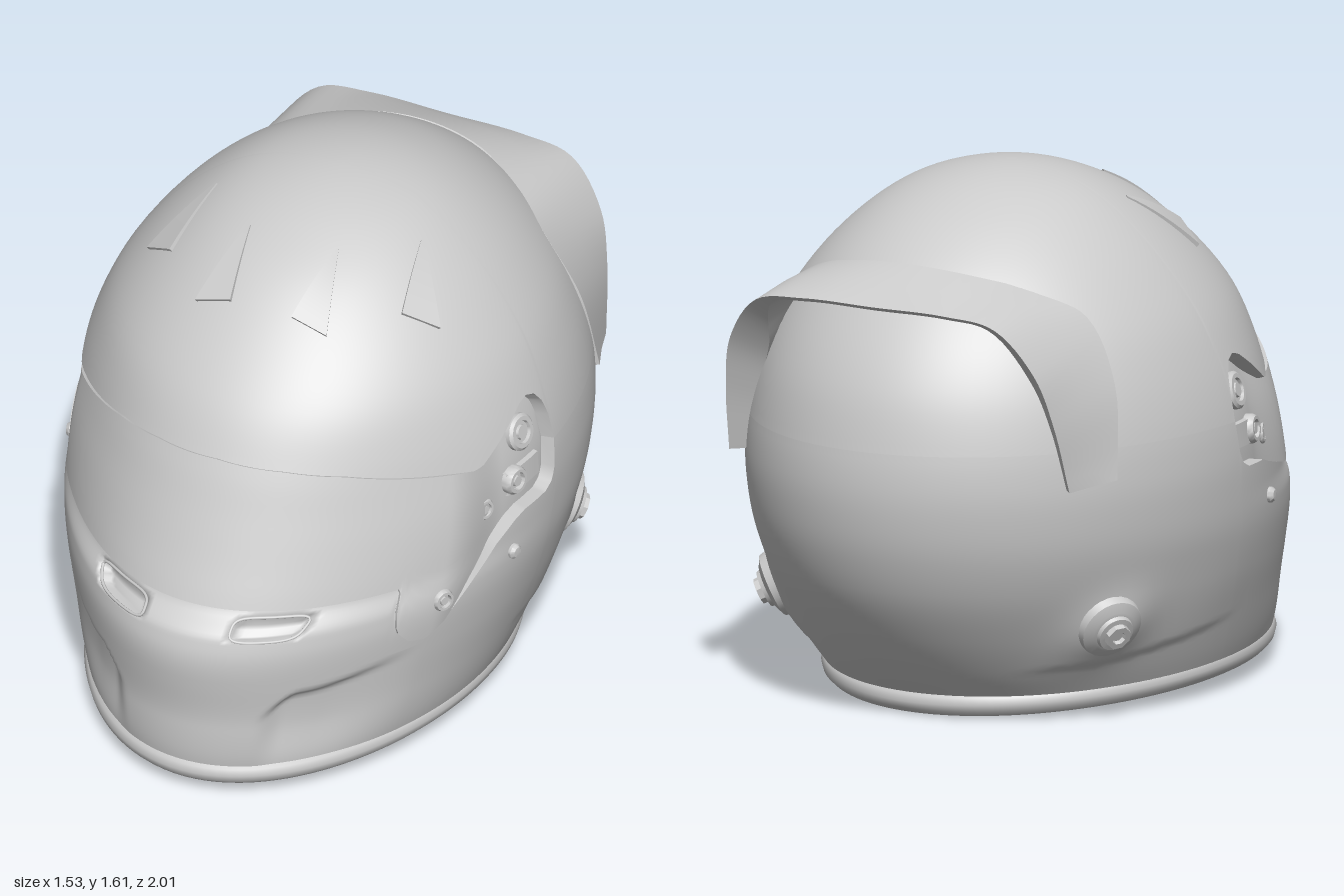
import * as THREE from 'three';
import { mergeVertices, toCreasedNormals } from 'three/addons/utils/BufferGeometryUtils.js';

const grey = new THREE.MeshStandardMaterial({ color: 0xcccccc, side: THREE.DoubleSide });
const V = (x, y, z) => new THREE.Vector3(x, y, z);
const { smoothstep, clamp, lerp } = THREE.MathUtils;

// Shell sections: height, half width, front z, back z (last row mirrors over the pole)
const ROWS = [
  [0.05, 0.60, 0.965, -0.64], [0.15, 0.64, 0.98, -0.735], [0.27, 0.68, 0.982, -0.83],
  [0.40, 0.72, 0.975, -0.912], [0.53, 0.75, 0.957, -0.965], [0.65, 0.762, 0.915, -0.992],
  [0.77, 0.764, 0.862, -1.0], [0.90, 0.75, 0.805, -0.985], [1.05, 0.708, 0.737, -0.943],
  [1.20, 0.64, 0.645, -0.86], [1.35, 0.53, 0.50, -0.735], [1.47, 0.405, 0.345, -0.58],
  [1.55, 0.28, 0.18, -0.42], [1.595, 0.14, 0.03, -0.27], [1.61, 0, -0.12, -0.12], [1.595, -0.14, -0.27, 0.03]];
const TOP = ROWS.length - 2;

function section(s) {
  const i = clamp(Math.floor(s), 0, TOP - 1), t = s - i;
  const r = [0, 1, 2, 3].map(k => {
    const b = ROWS[i][k], c = ROWS[i + 1][k], d = ROWS[i + 2][k];
    const a = i ? ROWS[i - 1][k] : 2 * b - c;
    return b + 0.5 * t * (c - a + t * (2 * a - 5 * b + 4 * c - d + t * (3 * (b - c) + d - a)));
  });
  // Ledge of the chin bar below the visor
  r[2] += 0.044 * smoothstep(r[0], 0.25, 0.54) * (1 - smoothstep(r[0], 0.575, 0.65));
  return r;
}
function sOf(y) {
  let lo = 0, hi = TOP;
  for (let k = 0; k < 30; k++) {
    const m = (lo + hi) / 2;
    if (section(m)[0] < y) lo = m; else hi = m;
  }
  return (lo + hi) / 2;
}
const centre = y => lerp(0.1, -0.05, smoothstep(y, -0.1, 0.75)) - 0.07 * smoothstep(y, 0.75, 1.61);

// Point on the shell at angle a (0 = front, + = left) and section s; the front quarters are drawn in
function surf(a, s) {
  const [y, w, f, b] = section(s), c = centre(y), k = Math.cos(a);
  const taper = 0.042 * lerp(0.4, 1, smoothstep(y, 0.05, 0.5)) * (1 - smoothstep(y, 0.85, 1.35));
  const q = k > 0 ? 1 - taper * Math.sin(2 * a) ** 2 : 1;
  return V(q * w * Math.sin(a), y, c + q * (k > 0 ? f - c : c - b) * k);
}
function normal(a, s) {
  const e = 0.01;
  const da = surf(a + e, s).sub(surf(a - e, s));
  const ds = surf(a, Math.min(s + e, TOP)).sub(surf(a, Math.max(s - e, 0)));
  const n = da.cross(ds);
  return n.length() < 1e-7 ? V(0, 1, 0) : n.normalize();
}
const lift = (a, s, d) => surf(a, s).addScaledVector(normal(a, s), d);
function angleOf(z, y) {
  const s = sOf(y);
  let lo = 0, hi = Math.PI;
  for (let k = 0; k < 30; k++) {
    const m = (lo + hi) / 2;
    if (surf(m, s).z > z) lo = m; else hi = m;
  }
  return lo;
}
// Shell point above a plan position
function onTop(x, z) {
  let lo = 0.8, hi = 1.61;
  for (let k = 0; k < 25; k++) {
    const y = (lo + hi) / 2, [, w, f, b] = section(sOf(y)), c = centre(y);
    if ((x / w) ** 2 + ((z - c) / (z > c ? f - c : c - b)) ** 2 < 1) lo = y; else hi = y;
  }
  return V(x, lo, z);
}

// Grid of points to a smooth surface
function gridGeometry(cols) {
  const n = cols[0].length, idx = [];
  for (let i = 0; i < cols.length - 1; i++) for (let j = 0; j < n - 1; j++) {
    const p = i * n + j, q = p + n;
    idx.push(p, q, q + 1, p, q + 1, p + 1);
  }
  let g = new THREE.BufferGeometry().setFromPoints(cols.flat());
  g.setIndex(idx);
  g = mergeVertices(g, 1e-5);
  g.computeVertexNormals();
  return g;
}
// Piece of shell through the given height levels, with n[k] rows between levels
function patch(angles, levels, n, off) {
  return gridGeometry(angles.map(a => {
    const s = levels.map(y => (y(a) >= 1.61 ? TOP : sOf(y(a))));
    return n.flatMap((rows, k) => Array.from({ length: rows + 1 }, (_, j) => {
      const v = lerp(s[k], s[k + 1], j / rows);
      return lift(a, v, off(a, section(v)[0], j / rows));
    }).slice(k ? 1 : 0));
  }));
}
const table = (pts, a) => {
  const k = pts.findIndex(p => p[0] >= a);
  if (k < 0) return pts.at(-1)[1];
  if (k === 0) return pts[0][1];
  const [p, q] = [pts[k - 1], pts[k]];
  return lerp(p[1], q[1], (a - p[0]) / (q[0] - p[0]));
};

// Visor outline: upper edge, lower edge with a latch tab on the left side only
const END = 1.55;
const UPPER = [[0, 1.06], [0.3, 1.05], [0.55, 1.028], [1, 0.957], [1.12, 0.935], [1.16, 0.94], [1.24, 0.98],
  [1.32, 1.02], [1.38, 1.05], [1.43, 1.06], [1.48, 1.045], [1.52, 1.005], [1.54, 0.95], [END, 0.87]];
const REAR = [[1.31, 0.705], [1.36, 0.72], [1.48, 0.722], [1.52, 0.74], [1.54, 0.78], [END, 0.87]];
const LEFT = [[0, 0.65], [0.82, 0.65], [0.85, 0.52], [0.91, 0.47], [0.98, 0.455], [1.06, 0.49], [1.23, 0.66], ...REAR];
const RIGHT = [[0, 0.65], [1.05, 0.65], [1.2, 0.68], ...REAR];
const yUp = a => table(UPPER, Math.abs(a));
const yLow = a => table(a > 0 ? LEFT : RIGHT, Math.abs(a));
const depth = a => lerp(-0.01, 0.045, smoothstep(Math.abs(a), 1.0, 1.3));

// Chin vent outline: inner end upright, outer end slanted
const ventWidth = y => 0.2 + 0.6 * (y - 0.603);

// Relief of the lower shell: cheek hollows, chin vents, strap mount swelling
function relief(a, y) {
  const b = Math.abs(a), p = surf(b, sOf(y));
  const line = 0.3 + 0.085 * smoothstep(b, 0.3, 0.5) + 0.05 * smoothstep(b, 0.5, 1.0);
  let d = -0.022 * smoothstep(b, 0.32, 0.45) * (1 - smoothstep(b, 0.6, 1.0)) *
    (1 - smoothstep(y, line - 0.04, line)) * smoothstep(y, 0.07, 0.25);
  const vx = 2 * (p.x - 0.145) / ventWidth(y) - 1, vy = (y - 0.603) / 0.028;
  if (p.z > 0) d -= 0.035 * (1 - smoothstep(vx ** 6 + vy ** 6, 0.5, 1.2));
  d += 0.03 * Math.exp(-(((p.z + 0.46) / 0.11) ** 2 + ((y - 0.3) / 0.1) ** 2));
  const ridge = 0.252 + 0.13 * p.z;
  d += 0.01 * smoothstep(y, ridge - 0.025, ridge) * (1 - smoothstep(y, ridge, 0.5)) *
    smoothstep(-p.z, -0.15, 0.25) * (1 - smoothstep(-p.z, 0.4, 0.65));
  return d;
}

// Round fitting standing on the shell
function fitting(name, side, z, y, sink, profile, sides = 28) {
  const a = side * angleOf(z, y), s = sOf(y);
  const g = new THREE.LatheGeometry(profile.map(p => new THREE.Vector2(...p)), sides);
  const m = new THREE.Mesh(toCreasedNormals(g, 0.6), grey);
  m.name = name;
  m.position.copy(lift(a, s, sink));
  m.quaternion.setFromUnitVectors(V(0, 1, 0), normal(a, s));
  return m;
}
const screw = (r, h) => [[r, -0.01], [r, h * 0.6], [r * 0.85, h], [r * 0.62, h], [r * 0.58, h * 0.5],
  [r * 0.4, h * 0.5], [r * 0.36, h * 0.9], [0, h * 0.9]];

export function createModel() {
  const model = new THREE.Group();
  const add = (name, geo) => {
    const m = new THREE.Mesh(geo, grey);
    m.name = name;
    model.add(m);
  };

  // Angles: fine at the front and sides, coarse at the back
  const half = [];
  for (let i = 0; i < 40; i++) half.push(i * 0.02);
  for (let i = 0; i <= 64; i++) half.push(lerp(0.8, END, i / 64));
  for (let i = 1; i <= 30; i++) half.push(lerp(END, Math.PI, i / 30));
  const all = [...half.slice(1).reverse().map(a => -a), ...half];
  const front = all.filter(a => Math.abs(a) <= END + 1e-6);
  const low = () => 0.05, top = () => 1.61;

  add('lowerShell', patch(all, [low, () => 0.43, yLow], [26, 22], relief));
  add('upperShell', patch(all, [yUp, top], [34], () => 0));
  add('visor', patch(front, [yLow, yUp], [14], a => -depth(a)));
  add('visorLowerEdge', patch(front, [yLow, yLow], [1], (a, y, t) => -depth(a) * t));
  add('visorUpperEdge', patch(front, [yUp, yUp], [1], (a, y, t) => -depth(a) * (1 - t)));
  const coarse = Array.from({ length: 73 }, (_, i) => -Math.PI + i * Math.PI / 36);
  add('innerShell', patch(coarse, [low, top], [30], () => -0.055));

  // Rolled trim around the neck opening
  const trim = Array.from({ length: 64 }, (_, i) => {
    const a = i * Math.PI / 32, p = lift(a, 0, -0.018);
    p.y = 0.06 + 0.018 * Math.cos(a) + 0.022 * Math.sin(a) ** 2;
    return p;
  });
  add('neckTrim', new THREE.TubeGeometry(new THREE.CatmullRomCurve3(trim, true), 128, 0.042, 12, true));

  for (const side of [1, -1]) {
    // Rim around each chin vent
    const rim = Array.from({ length: 32 }, (_, i) => {
      const t = i * Math.PI / 16, c = Math.cos(t), q = Math.sin(t);
      const y = 0.603 + 0.029 * Math.sign(q) * Math.abs(q) ** 0.6, s = sOf(y);
      const x = 0.145 + ventWidth(y) * (0.5 + 0.51 * Math.sign(c) * Math.abs(c) ** 0.5);
      return lift(side * Math.asin(x / section(s)[1]), s, -0.001);
    });
    add('chinVentRim', new THREE.TubeGeometry(new THREE.CatmullRomCurve3(rim, true), 64, 0.005, 6, true));

    // Wedge scoops on the crown: apex and the two base corners in plan
    const wedges = [[[0.145, 0.18], [0.10, 0.42], [0.215, 0.42]], [[0.335, 0.0], [0.38, 0.245], [0.48, 0.19]]];
    for (const [apex, l, r] of wedges) {
      const steps = Array.from({ length: 9 }, (_, i) => {
        const t = 0.06 + 0.94 * i / 8;
        const at = (c, h) => {
          const p = onTop(side * lerp(apex[0], c[0], t), lerp(apex[1], c[1], t));
          return p.addScaledVector(p.clone().sub(V(0, 0.75, -0.05)).normalize(), h);
        };
        const h = 0.004 + 0.009 * t;
        const col = [at(l, -0.01), at(l, h), at(r, h), at(r, -0.01)];
        return side > 0 ? col : col.reverse();
      });
      const [a, b, c, d] = steps[8];
      steps.push([a.clone(), a.clone().lerp(b, 0.2), d.clone().lerp(c, 0.2), d.clone()]);
      add('crownScoop', toCreasedNormals(gridGeometry(steps), 0.6));
    }

    // Side pod hardware, snap and strap mount
    model.add(fitting('visorPivot', side, 0.075, 0.95, -0.045, screw(0.058, 0.02)));
    model.add(fitting('visorScrew', side, 0.145, 0.815, -0.045, screw(0.045, 0.03)));
    model.add(fitting('smallScrew', side, 0.275, 0.775, -0.045, screw(0.034, 0.018)));
    model.add(fitting('snapStud', side, 0.2, 0.6, 0, [[0.024, -0.01], [0.024, 0.008], [0.016, 0.018], [0, 0.02]]));
    model.add(fitting('strapMount', side, -0.47, 0.31, 0.02,
      [[0.105, -0.015], [0.098, 0.012], [0.07, 0.026], [0.06, 0.028], [0.056, 0.04], [0.04, 0.042]]));
    model.add(fitting('strapBolt', side, -0.47, 0.31, 0.055, [[0.042, -0.02], [0.04, 0.024], [0.022, 0.024], [0.018, 0.012], [0, 0.012]], 8));

    // Slide plate behind the visor screw
    const plate = Array.from({ length: 9 }, (_, i) => {
      const z = lerp(0.18, 0.02, i / 8);
      return [[0.77, -0.05], [0.775, -0.03], [0.85, -0.03], [0.855, -0.05]].map(([y, d]) =>
        lift(side * angleOf(z, y), sOf(y), d));
    });
    add('slidePlate', toCreasedNormals(gridGeometry(plate), 0.6));
  }
  model.add(fitting('visorLatch', 1, 0.48, 0.57, -0.01, screw(0.036, 0.03)));

  // Rear spoiler: front edge on the shell, free rear lip, solid legs
  const F = [[0, 1.385, -0.69], [0.22, 1.365, -0.655], [0.40, 1.31, -0.55], [0.51, 1.24, -0.485], [0.615, 1.05, -0.5], [0.655, 0.775, -0.55]];
  const B = [[0, 1.29, -0.88], [0.25, 1.29, -0.88], [0.42, 1.265, -0.87], [0.535, 1.13, -0.83], [0.578, 0.97, -0.785], [0.60, 0.76, -0.73]];
  const curve = pts => new THREE.CatmullRomCurve3([
    ...pts.slice(1).reverse().map(([x, y, z]) => V(-x, y, z)), ...pts.map(p => V(...p))]);
  const cf = curve(F), cb = curve(B), N = 60;
  const wing = Array.from({ length: N + 1 }, (_, i) => {
    const f = cf.getPoint(i / N), b = cb.getPoint(i / N);
    const leg = smoothstep(Math.abs(2 * i / N - 1), 0.3, 0.6);
    const move = (p, d) => p.clone().addScaledVector(p.clone().sub(V(0, 0.75, -0.05)).normalize(), d);
    const mid = f.clone().lerp(b, 0.5);
    const ring = [move(f, -0.03), move(f, 0.008), move(mid, lerp(0.014, 0, leg)), b,
      move(b, -0.025 - 0.11 * leg), move(mid, -0.035 - 0.05 * leg)];
    return [...ring, ring[0].clone()];
  });
  const cap = col => {
    const c = col.slice(0, 6).reduce((s, p) => s.add(p), V(0, 0, 0)).divideScalar(6);
    return col.map(() => c.clone());
  };
  add('rearSpoiler', toCreasedNormals(gridGeometry([cap(wing[0]), ...wing, cap(wing[N])]), 0.6));
  return model;
}
